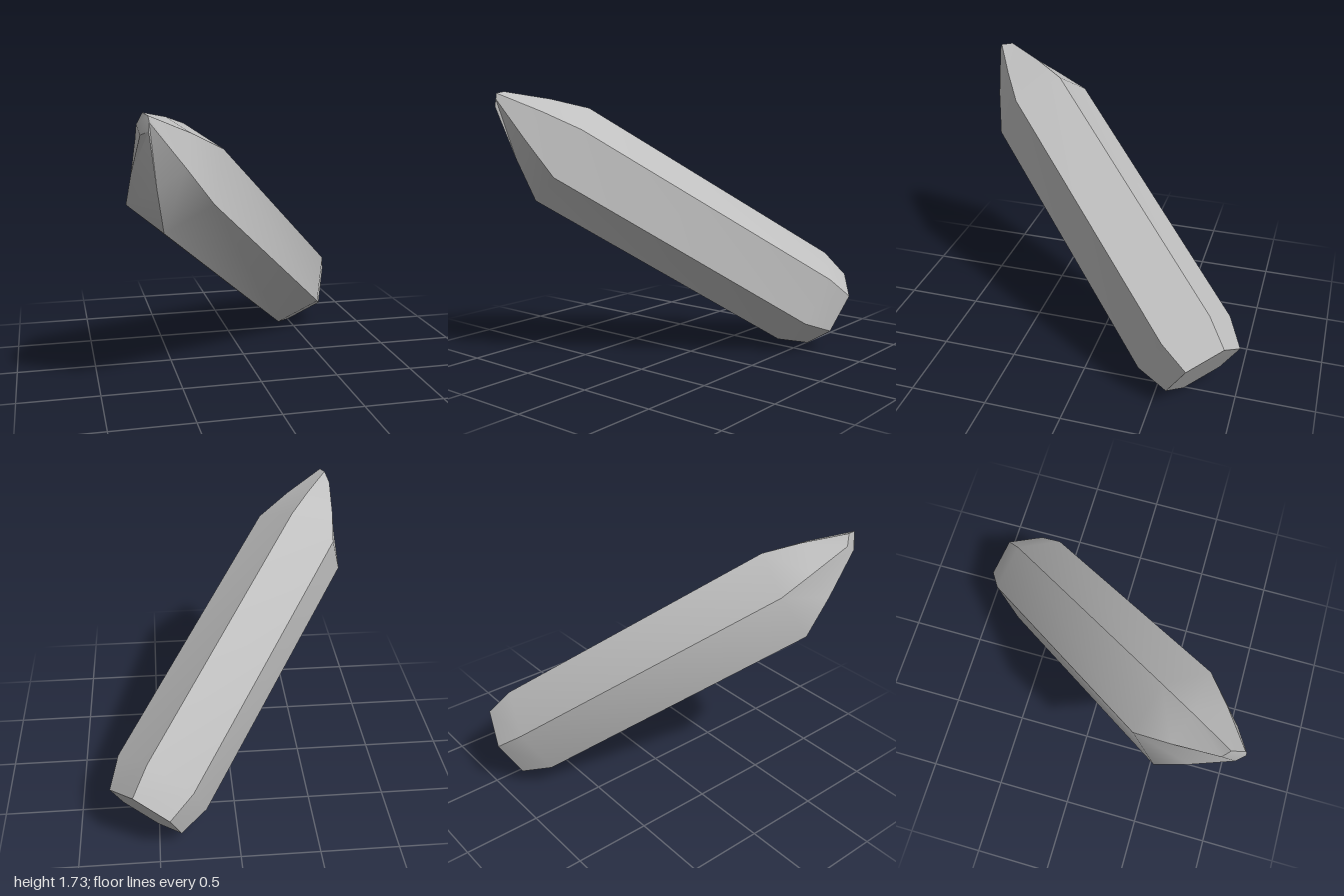
import * as THREE from 'three';
import { toCreasedNormals } from 'three/addons/utils/BufferGeometryUtils.js';

const V = (x, y, z) => new THREE.Vector3(x, y, z);

// Half of the hexagonal section; the other three corners are its mirror
const half = [V(0.27, 0.165, 0.09), V(0.085, 0.29, -0.16), V(-0.185, 0.12, -0.25)];
const hexagon = [...half, ...half.map((p) => p.clone().negate())];
const ring = (centre, scale) => hexagon.map((p) => p.clone().multiplyScalar(scale).add(centre));

// Skin a stack of six-sided rings and close both ends
function loft(rings) {
  const positions = rings.flat().flatMap((p) => p.toArray());
  const index = [];
  const n = 6;
  for (let r = 0; r < rings.length - 1; r++) {
    for (let i = 0; i < n; i++) {
      const a = r * n + i, b = r * n + (i + 1) % n;
      index.push(a, b, b + n, a, b + n, a + n);
    }
  }
  const top = (rings.length - 1) * n;
  for (let i = 1; i < n - 1; i++) {
    index.push(0, i + 1, i);
    index.push(top, top + i, top + i + 1);
  }
  const geometry = new THREE.BufferGeometry();
  geometry.setAttribute('position', new THREE.Float32BufferAttribute(positions, 3));
  geometry.setIndex(index);
  return toCreasedNormals(geometry, 0.7);
}

export function createModel() {
  const group = new THREE.Group();
  group.name = 'crystal';
  const stone = new THREE.MeshStandardMaterial({ color: 0xbfbfbf });
  stone.name = 'grey stone';

  // Chamfered base and straight shaft
  const base = ring(V(0.577, 0.234, -0.797), 0.8);
  const lowerShoulder = ring(V(0.465, 0.335, -0.65), 1);
  const upperShoulder = ring(V(-0.55, 1.34, 0.62), 1);

  // Small, lopsided end of the point
  const tip = [
    V(-0.735, 1.725, 0.985), V(-0.755, 1.735, 0.91), V(-0.785, 1.67, 0.87),
    V(-0.775, 1.62, 0.95), V(-0.735, 1.645, 1.0), V(-0.73, 1.69, 0.995),
  ];

  // Slightly swollen ring halfway up the point
  const middle = upperShoulder.map((p, i) => p.clone().lerp(tip[i], 0.47));
  const centre = middle.reduce((sum, p) => sum.add(p), V(0, 0, 0)).divideScalar(6);
  middle.forEach((p) => p.sub(centre).multiplyScalar(1.05).add(centre));

  const shard = new THREE.Mesh(loft([base, lowerShoulder, upperShoulder, middle, tip]), stone);
  shard.name = 'crystalShard';
  group.add(shard);
  return group;
}
